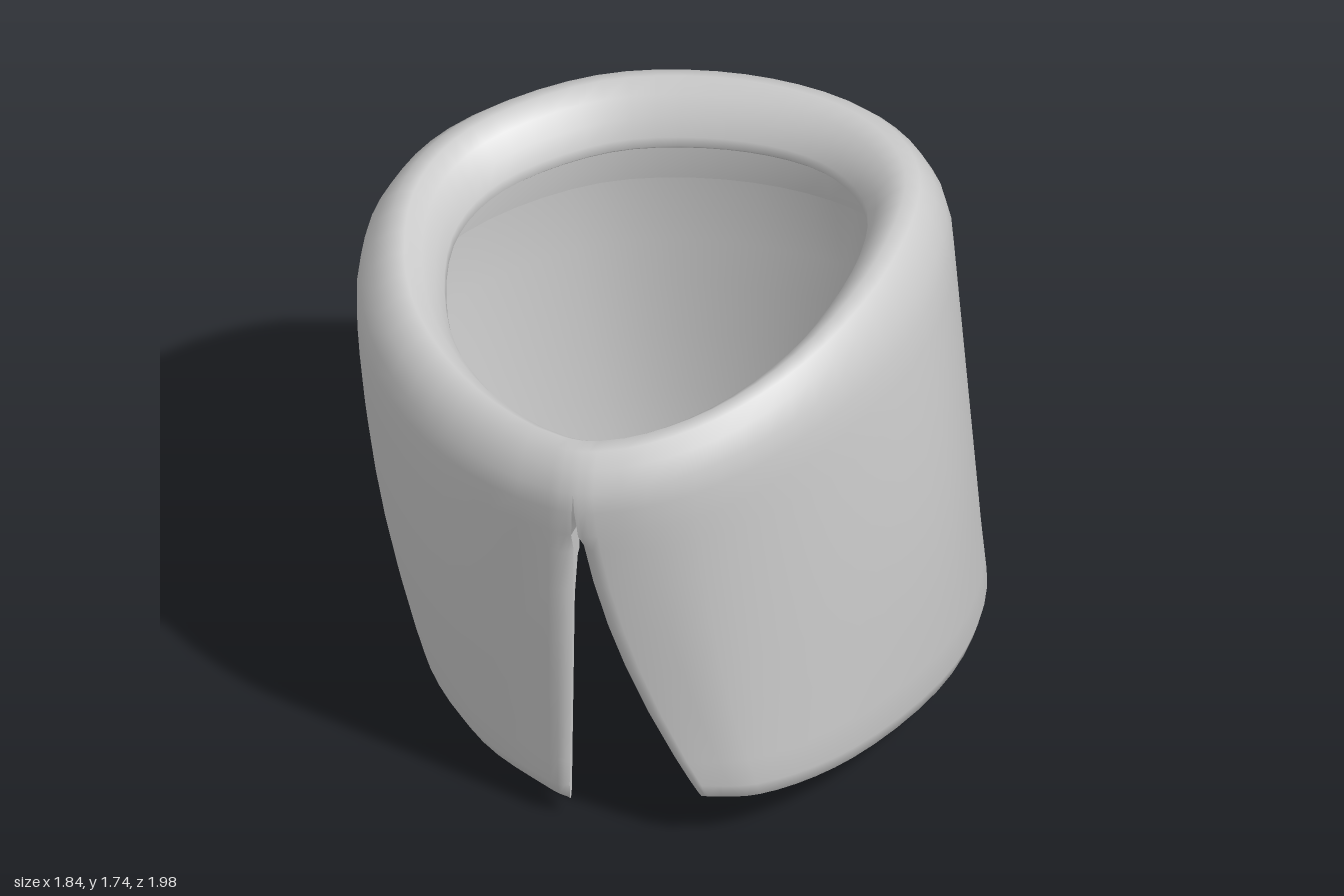
import * as THREE from 'three';

// Outer outlines of the cuff, from one slit edge round the back to the other: [x, y, z]
const curve = (pts, closed) =>
  new THREE.CatmullRomCurve3(pts.map((p) => new THREE.Vector3(...p)), closed);
const rim = curve([
  [0.125, 1.47, 1.0], [0.46, 1.54, 0.86], [0.72, 1.63, 0.52], [0.83, 1.7, 0], [0.75, 1.74, -0.45],
  [0.47, 1.74, -0.71], [0, 1.705, -0.81], [-0.5, 1.64, -0.71], [-0.85, 1.58, -0.37],
  [-0.92, 1.54, 0], [-0.74, 1.48, 0.48], [-0.35, 1.44, 0.83],
], true);
const middle = curve([
  [0.22, 0, 0.91], [0.5, 0, 0.8], [0.76, 0, 0.48], [0.91, 0, -0.04], [0.79, 0, -0.49],
  [0.51, 0, -0.76], [0.06, 0, -0.865], [-0.45, 0, -0.75], [-0.78, 0, -0.41],
  [-0.868, 0, -0.01], [-0.7, 0, 0.42], [-0.35, 0, 0.76], [0.08, 0, 0.91],
], false);
const hem = curve([
  [0.46, 0.17, 0.79], [0.61, 0.155, 0.69], [0.79, 0.14, 0.4], [0.91, 0.145, -0.1], [0.82, 0.135, -0.58],
  [0.55, 0.1, -0.89], [0.14, 0.04, -1.01], [-0.33, 0.02, -0.85], [-0.64, 0, -0.5],
  [-0.73, 0.025, -0.05], [-0.6, 0.045, 0.3], [-0.32, 0.045, 0.61], [0.03, 0.06, 0.81],
], false);

// Cross-section rows: [depth inward, fraction of height, height offset]
const wall = (n, fractions) => fractions.map((f) => [n, f, 0]);
const profile = [
  [0.045, 0, 0], [0.016, 0, 0.018], [0, 0, 0.07],
  ...wall(0, [0.12, 0.25, 0.38, 0.5, 0.63, 0.74]),
  // rolled rim
  [0, 1, -0.28], [0.002, 1, -0.19], [0.015, 1, -0.12], [0.05, 1, -0.055], [0.095, 1, -0.012],
  [0.14, 1, 0], [0.19, 1, -0.03], [0.23, 1, -0.08], [0.255, 1, -0.135], [0.26, 1, -0.165],
  [0.245, 1, -0.18], [0.18, 1, -0.175], [0.13, 1, -0.175], [0.105, 1, -0.21], [0.1, 1, -0.3],
  // edge of the turned-in layer
  [0.1, 1, -0.41], [0.082, 1, -0.42],
  ...wall(0.082, [0.6, 0.5, 0.38, 0.25, 0.12]),
  [0.086, 0, 0.05], [0.074, 0, 0.014],
];
const inRoll = ([, f, dy]) => f === 1 && dy > -0.28;
const edgePinch = 0.75;
const thinned = ([n, f], pinch) => (f < 1 ? THREE.MathUtils.lerp(n, 0.045, pinch) : n);

// Point on the cuff; pinch thins the wall to round the slit edges
function surfacePoint(u, row, pinch) {
  const top = rim.getPoint(u), mid = middle.getPoint(u), low = hem.getPoint(u);
  const y = THREE.MathUtils.lerp(low.y, top.y, row[1]) + row[2];
  const shoulder = top.y - 0.12;
  const s = THREE.MathUtils.clamp((shoulder - y) / (shoulder - low.y), 0, 1);
  const p = top.multiplyScalar((1 - s) * (1 - 2 * s))
    .addScaledVector(mid, 4 * s * (1 - s))
    .addScaledVector(low, s * (2 * s - 1));
  // the roll is narrower at the front than at the back
  const width = inRoll(row) ? 0.84 + 0.24 * Math.sin(Math.PI * Math.pow(u, 1.5)) : 1;
  const k = 1 - (thinned(row, pinch) * width) / Math.hypot(p.x, p.z);
  return new THREE.Vector3(p.x * k, y, p.z * k);
}

function cuffGeometry(steps) {
  const us = [[0, edgePinch], [0.003, 0.35], [0.008, 0.1], [0.014, 0]];
  const ends = us.map(([u, k]) => [1 - u, k]).reverse();
  for (let i = 2; i < steps - 1; i++) us.push([i / steps, 0]);
  us.push(...ends);
  const pos = [], index = [], m = profile.length;
  us.forEach(([u, k]) => profile.forEach((row) => pos.push(...surfacePoint(u, row, k).toArray())));
  for (let i = 0; i < us.length - 1; i++) {
    for (let j = 0; j < m; j++) {
      const a = i * m + j, b = i * m + ((j + 1) % m);
      index.push(a, a + m, b + m, a, b + m, b);
    }
  }
  const geo = new THREE.BufferGeometry();
  geo.setAttribute('position', new THREE.Float32BufferAttribute(pos, 3));
  geo.setIndex(index);
  geo.computeVertexNormals();
  // smooth the roll across the join above the slit
  const normals = geo.attributes.normal, last = (us.length - 1) * m;
  profile.forEach((row, j) => {
    if (!inRoll(row)) return;
    const n = new THREE.Vector3().fromBufferAttribute(normals, j)
      .add(new THREE.Vector3().fromBufferAttribute(normals, last + j)).normalize();
    normals.setXYZ(j, n.x, n.y, n.z);
    normals.setXYZ(last + j, n.x, n.y, n.z);
  });
  return geo;
}

// Narrow face closing the wall at one slit edge
function slitFaceGeometry(u) {
  const rows = profile.filter((row) => !inRoll(row));
  const flat = rows.map((row) => new THREE.Vector2(thinned(row, edgePinch), row[1] * 1.4 + row[2]));
  const index = [];
  for (const [a, b, c] of THREE.ShapeUtils.triangulateShape(flat, [])) {
    const ccw = THREE.ShapeUtils.area([flat[a], flat[b], flat[c]]) > 0;
    index.push(...(ccw === (u === 1) ? [a, b, c] : [a, c, b]));
  }
  const geo = new THREE.BufferGeometry()
    .setFromPoints(rows.map((row) => surfacePoint(u, row, edgePinch)));
  geo.setIndex(index);
  geo.computeVertexNormals();
  return geo;
}

export function createModel() {
  const group = new THREE.Group();
  group.name = 'slitCuff';
  const material = new THREE.MeshStandardMaterial({ color: 0xcccccc, side: THREE.DoubleSide });
  const add = (name, geo) => {
    const mesh = new THREE.Mesh(geo, material);
    mesh.name = name;
    group.add(mesh);
  };
  add('cuff', cuffGeometry(60));
  add('leftSlitEdge', slitFaceGeometry(0));
  add('rightSlitEdge', slitFaceGeometry(1));
  return group;
}
